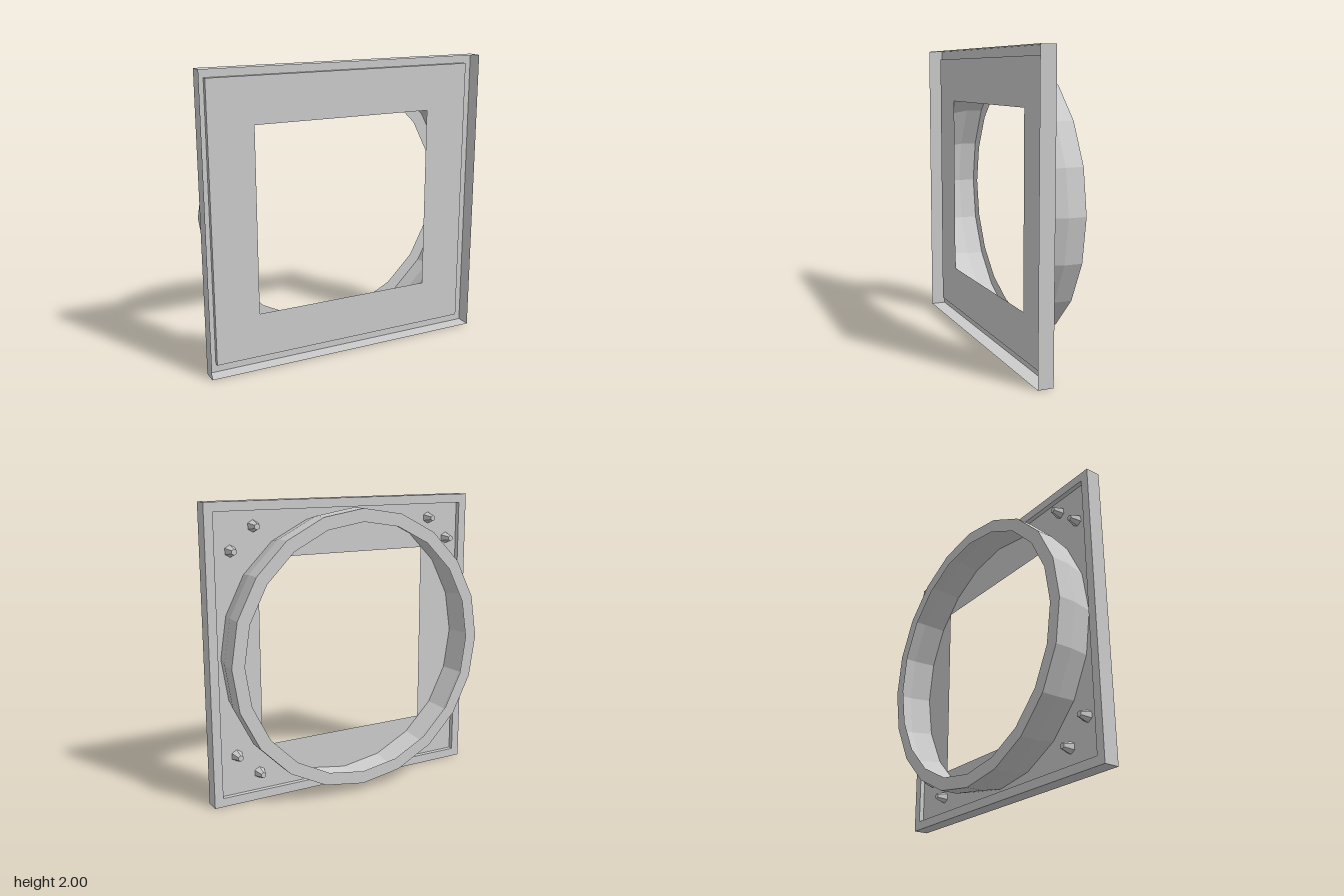
import * as THREE from 'three';

const material = new THREE.MeshStandardMaterial({
  color: 0xcccccc, flatShading: true, side: THREE.DoubleSide,
});

function add(parent, name, geometry) {
  const mesh = new THREE.Mesh(geometry, material);
  mesh.name = name;
  parent.add(mesh);
  return mesh;
}

// Open [radius, z] profile swept about the z axis as a thin sheet
function sweep(profile, sides, phiStart = 0) {
  const points = profile.map(([r, z]) => new THREE.Vector2(r, z));
  return new THREE.LatheGeometry(points, sides, phiStart).rotateX(Math.PI / 2);
}

function square(half, Type) {
  return new Type([[-half, -half], [half, -half], [half, half], [-half, half]]
    .map(([x, y]) => new THREE.Vector2(x, y)));
}

export function createModel() {
  const model = new THREE.Group();
  model.name = 'ductFlange';
  const body = new THREE.Group();
  body.name = 'body';
  body.position.y = 1;
  model.add(body);

  // Thin square rim: step up from the panel edge, flat back border, outer wall
  const k = Math.SQRT2;
  add(body, 'squareRim', sweep(
    [[0.94 * k, 0.098], [0.94 * k, 0.065], [k, 0.065], [k, 0.168]], 4, Math.PI / 4));

  // Thin panel with a square opening
  const plate = square(0.94, THREE.Shape);
  plate.holes.push(square(0.633, THREE.Path));
  add(body, 'panel', new THREE.ShapeGeometry(plate)).position.z = 0.098;

  // Hollow twenty-sided collar with an inward lip at the back
  add(body, 'collar', sweep(
    [[0.857, -0.168], [0.944, -0.168], [0.944, -0.05], [0.91, 0.098]], 20));

  // Two tapered pegs in each corner, pointing backward
  const peg = new THREE.CylinderGeometry(0.02, 0.04, 0.068, 6).rotateX(-Math.PI / 2);
  for (const sx of [-1, 1]) {
    for (const sy of [-1, 1]) {
      for (const [dx, dy] of [[0.675, 0.83], [0.835, 0.68]]) {
        add(body, 'peg', peg).position.set(sx * dx - 0.013, sy * dy + 0.01, 0.064);
      }
    }
  }
  return model;
}
